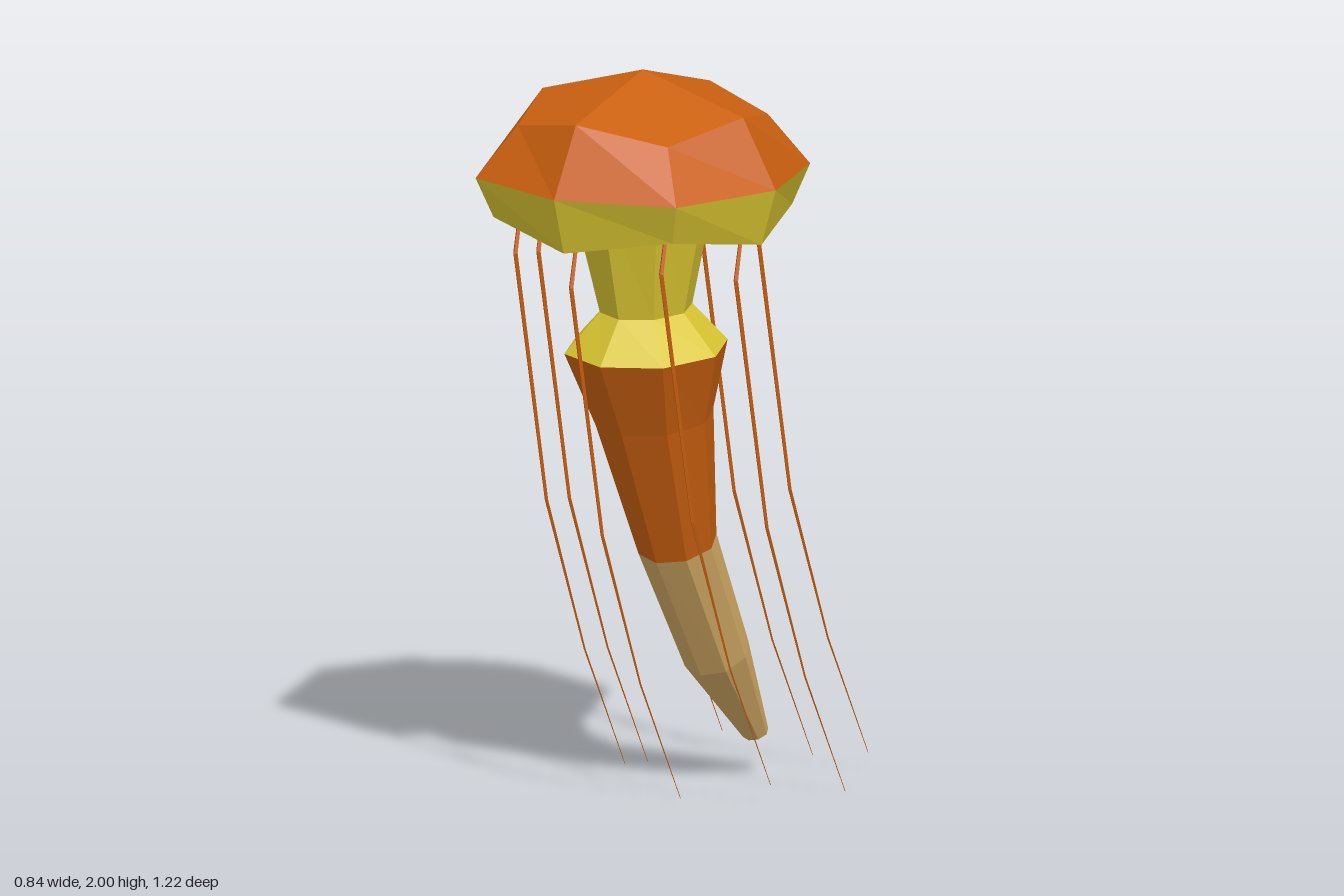
import * as THREE from 'three';

const CZ = 0.19; // z of the bell's axis

const material = (name, color) => {
  const m = new THREE.MeshStandardMaterial({ color });
  m.name = name;
  return m;
};

// Closed ring of points; dip lowers the front and raises the back
function ring(sides, x, y, z, rx, rz = rx, dip = 0) {
  return Array.from({ length: sides }, (_, i) => {
    const a = (i / sides) * Math.PI * 2;
    return new THREE.Vector3(x + rx * Math.sin(a), y - dip * Math.cos(a), z + rz * Math.cos(a));
  });
}

// Bell ring: points on the axes and on the diagonals have their own offset and height
function bellRing(axis, yAxis, diagonal, yDiagonal) {
  return Array.from({ length: 8 }, (_, i) => {
    const a = (i / 8) * Math.PI * 2;
    const r = i % 2 ? diagonal * Math.SQRT2 : axis;
    return new THREE.Vector3(r * Math.sin(a), i % 2 ? yDiagonal : yAxis, CZ + r * Math.cos(a));
  });
}

// Flat-faced skin over rings listed from top to bottom
function loft(name, mat, rings) {
  const pos = [];
  const tri = (a, b, c) => {
    if (a.distanceTo(b) > 1e-6 && b.distanceTo(c) > 1e-6 && c.distanceTo(a) > 1e-6) {
      for (const p of [a, b, c]) pos.push(p.x, p.y, p.z);
    }
  };
  for (let k = 0; k < rings.length - 1; k++) {
    const up = rings[k], low = rings[k + 1], n = up.length;
    for (let j = 0; j < n; j++) {
      const i = (j + 1) % n;
      tri(up[j], low[j], low[i]);
      tri(up[j], low[i], up[i]);
    }
  }
  const geo = new THREE.BufferGeometry();
  geo.setAttribute('position', new THREE.Float32BufferAttribute(pos, 3));
  geo.computeVertexNormals();
  const mesh = new THREE.Mesh(geo, mat);
  mesh.name = name;
  return mesh;
}

export function createModel() {
  const model = new THREE.Group();
  model.name = 'jellyfish';
  const orange = material('orange', 0xcb6010);
  const yellow = material('yellow', 0xdac632);
  const tan = material('tan', 0xd2a964);

  // Bell: domed crown, rim band and hollow underside
  const shoulder = bellRing(0.317, 1.91, 0.237, 1.865);
  const widest = bellRing(0.42, 1.727, 0.317, 1.727);
  const rim = bellRing(0.375, 1.575, 0.283, 1.62);
  model.add(
    loft('bellCrown', orange, [ring(8, 0, 2, CZ, 0), shoulder, widest]),
    loft('bellRim', yellow, [widest, rim]),
    loft('bellUnderside', orange, [rim, ring(8, 0, 1.7, CZ, 0)])
  );

  // Central stalk, collar and the trailing body
  const neck = ring(8, 0, 1.355, 0.175, 0.12, 0.13, 0.008);
  const collar = ring(8, 0, 1.25, 0.175, 0.22, 0.217, 0.015);
  const waist = ring(8, 0, 0.69, 0.026, 0.107, 0.1, 0.034);
  const tip = ring(8, 0, 0.11, -0.343, 0.035, 0.032, 0.015);
  model.add(
    loft('stalk', yellow, [ring(8, 0, 1.7, CZ, 0.2), neck]),
    loft('collar', yellow, [neck, collar]),
    loft('body', orange, [collar, ring(8, 0, 1.055, 0.135, 0.16, 0.155, 0.025), waist]),
    loft('bodyTip', tan, [
      waist,
      ring(8, 0, 0.36, -0.158, 0.092, 0.074, 0.047),
      tip,
      ring(8, 0, 0.11, -0.343, 0)
    ])
  );

  // Eight thin tentacles sweeping backwards: [z offset, y, radius]
  const path = [
    [0, 1.6, 0.006],
    [0.027, 1.475, 0.007],
    [-0.12, 0.78, 0.0055],
    [-0.3, 0.345, 0.003],
    [-0.49, 0, 0.001]
  ];
  for (let i = 0; i < 8; i++) {
    const a = (i / 8) * Math.PI * 2;
    const r = i % 2 ? 0.326 : 0.312;
    const lift = i % 2 ? 0.05 : 0;
    const x = r * Math.sin(a), z = CZ + r * Math.cos(a);
    model.add(loft('tentacle' + (i + 1), orange,
      path.map(([dz, y, t]) => ring(4, x, y + lift, z + dz, t))));
  }
  return model;
}
